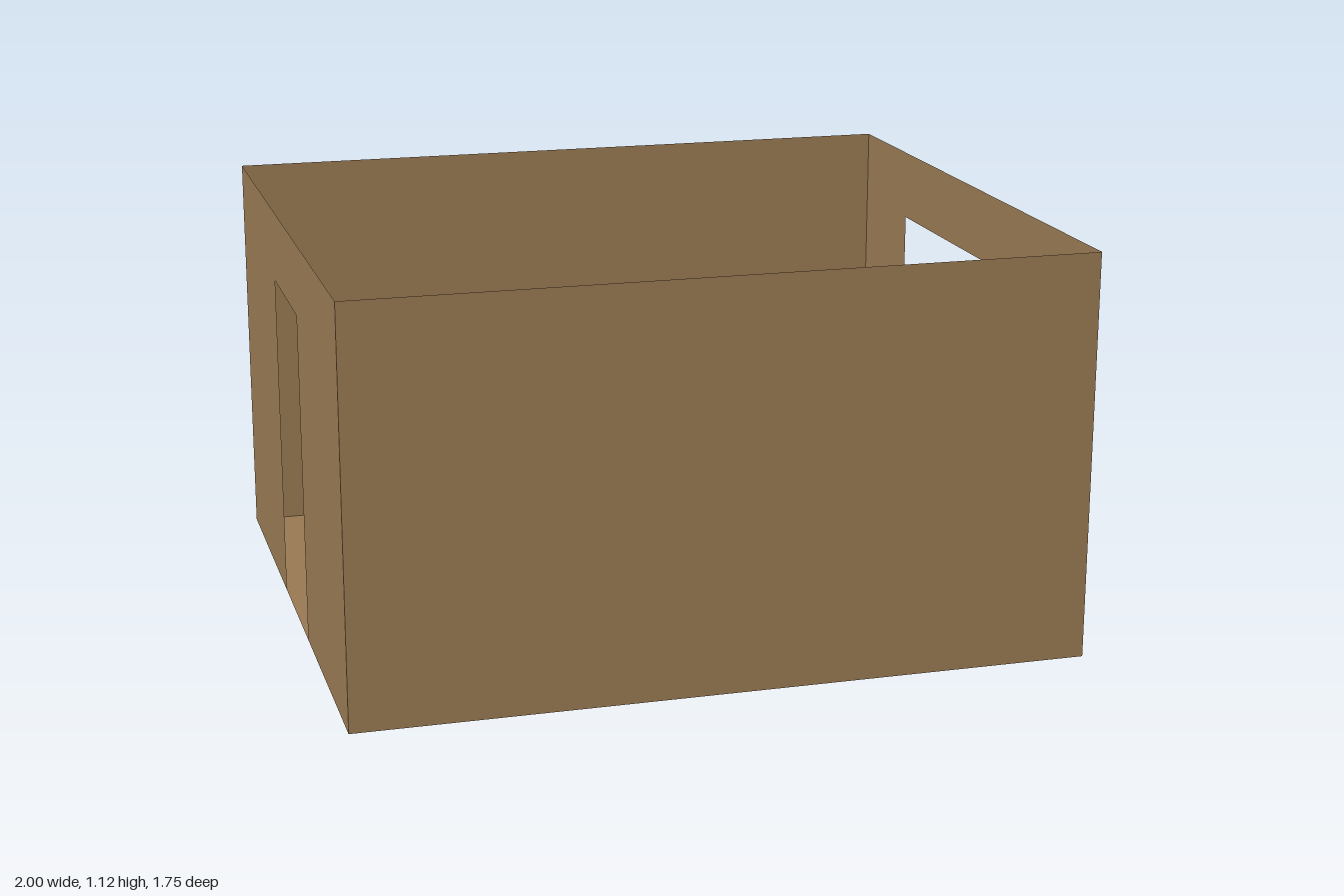
import * as THREE from 'three';

const W = 2, D = 1.75, H = 1.12;

export function createModel() {
  const group = new THREE.Group();
  const tan = new THREE.MeshStandardMaterial({ color: 0x987952, side: THREE.DoubleSide });
  tan.name = 'tan board';

  const add = (name, geometry) => {
    const mesh = new THREE.Mesh(geometry, tan);
    mesh.name = name;
    group.add(mesh);
  };
  const polygon = (points) => points.map(([x, y]) => new THREE.Vector2(x, y));

  // Floor sheet
  add('floor', new THREE.PlaneGeometry(W, D).rotateX(-Math.PI / 2));

  // Plain front and back walls
  add('frontWall', new THREE.PlaneGeometry(W, H).translate(0, H / 2, D / 2));
  add('backWall', new THREE.PlaneGeometry(W, H).rotateY(Math.PI).translate(0, H / 2, -D / 2));

  // Left wall with a wide window; the outline runs along -z
  const windowWall = new THREE.Shape(polygon([[-D / 2, 0], [D / 2, 0], [D / 2, H], [-D / 2, H]]));
  windowWall.holes.push(new THREE.Path(polygon([[-0.54, 0.26], [-0.54, 0.92], [0.53, 0.92], [0.53, 0.26]])));
  add('windowWall', new THREE.ShapeGeometry(windowWall).rotateY(Math.PI / 2).translate(W / 2, 0, 0));

  // Right wall with a doorway down to the floor; the outline runs along +z
  const doorWall = new THREE.Shape(polygon([
    [-D / 2, 0], [-0.21, 0], [-0.21, 0.92], [0.2, 0.92], [0.2, 0], [D / 2, 0], [D / 2, H], [-D / 2, H],
  ]));
  add('doorWall', new THREE.ShapeGeometry(doorWall).rotateY(-Math.PI / 2).translate(-W / 2, 0, 0));

  return group;
}
